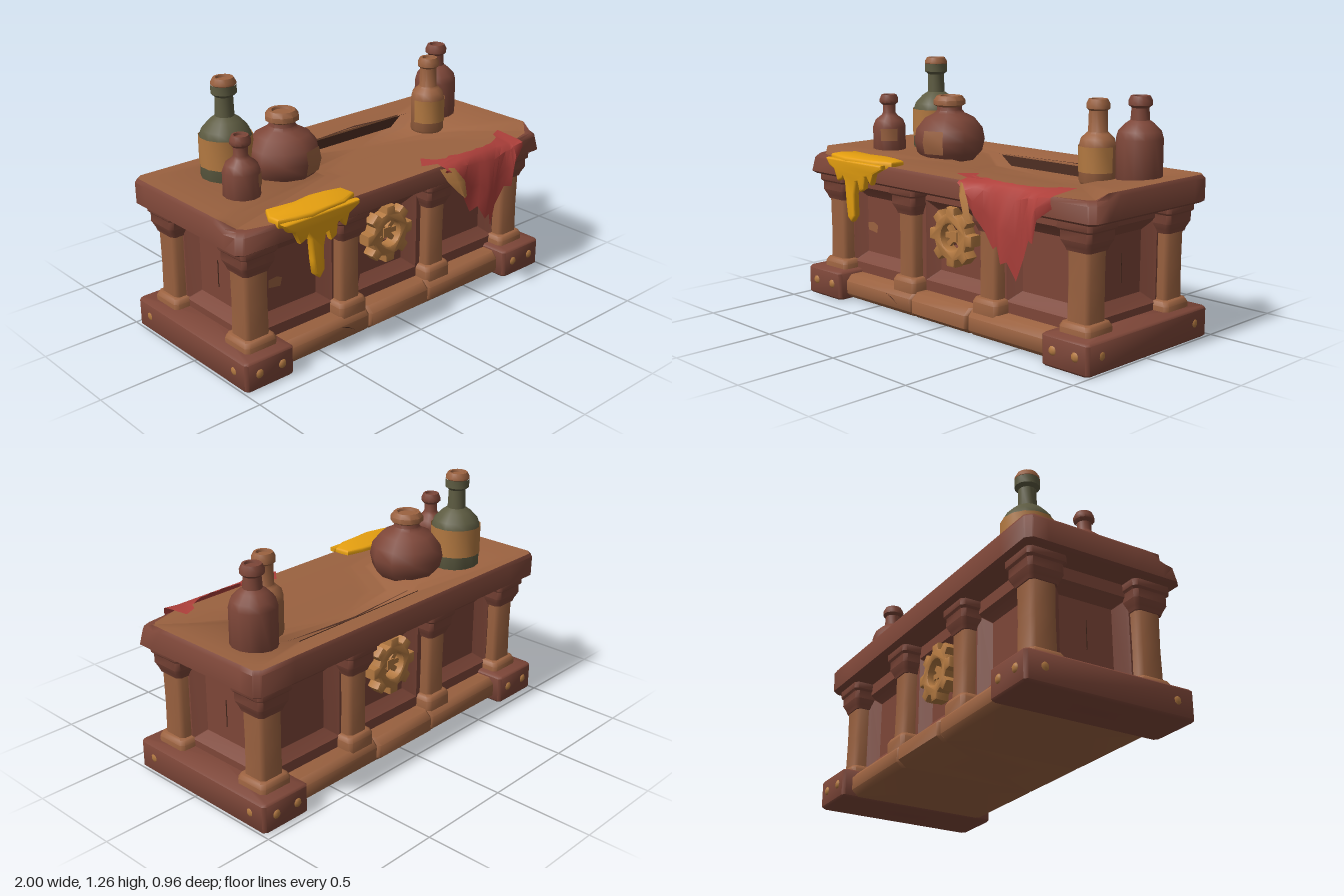
import * as THREE from 'three';
import { toCreasedNormals } from 'three/addons/utils/BufferGeometryUtils.js';

const mat = (name, color, side = THREE.FrontSide) =>
  Object.assign(new THREE.MeshStandardMaterial({ color, side }), { name });

// Skin a list of point loops; optional fan caps on the first and last loop
function loft(loops, { closed = true, bottom = true, top = true, crease = 0.85 } = {}) {
  const n = loops[0].length, pos = [];
  const tri = (...p) => p.forEach(v => pos.push(...v));
  for (let k = 0; k + 1 < loops.length; k++) {
    const a = loops[k], b = loops[k + 1];
    for (let i = 0; i < (closed ? n : n - 1); i++) {
      const j = (i + 1) % n;
      tri(a[i], b[i], a[j]);
      tri(a[j], b[i], b[j]);
    }
  }
  const cap = (loop, up) => {
    const c = [0, 1, 2].map(d => loop.reduce((s, p) => s + p[d], 0) / n);
    loop.forEach((p, i) => (up ? tri(c, loop[(i + 1) % n], p) : tri(c, p, loop[(i + 1) % n])));
  };
  if (closed && bottom) cap(loops[0], false);
  if (closed && top) cap(loops[loops.length - 1], true);
  const g = new THREE.BufferGeometry();
  g.setAttribute('position', new THREE.Float32BufferAttribute(pos, 3));
  return toCreasedNormals(g, crease);
}

// Chamfered rectangle loop at height y, each edge split n times
function rect(hx, hz, y, c = 0.015, n = 1, cz = 0, cx = 0) {
  const p = [[hx, -hz + c], [hx, hz - c], [hx - c, hz], [c - hx, hz],
    [-hx, hz - c], [-hx, c - hz], [c - hx, -hz], [hx - c, -hz]];
  return p.flatMap(([x, z], i) => {
    const [u, w] = p[(i + 1) % 8];
    return Array.from({ length: n }, (_, k) => [x + (u - x) * k / n + cx, y, z + (w - z) * k / n + cz]);
  });
}

export function createModel() {
  const root = new THREE.Group();
  const light = mat('light wood', 0x9b6240), dark = mat('dark wood', 0x7d4638);
  const tan = mat('tan', 0xb37941, THREE.DoubleSide), gap = mat('gap', 0x4e2e22, THREE.DoubleSide);
  const green = mat('green glass', 0x5d5b41), yellow = mat('yellow slime', 0xe6a010);
  const red = mat('red cloth', 0xae403b, THREE.DoubleSide);
  const add = (name, geo, m, x = 0, y = 0, z = 0, parent = root) => {
    const mesh = new THREE.Mesh(geo, m);
    mesh.name = name;
    mesh.position.set(x, y, z);
    parent.add(mesh);
    return mesh;
  };
  const flat = pts => new THREE.ShapeGeometry(new THREE.Shape(pts.map(([x, y]) => new THREE.Vector2(x, y))));
  const desk = new THREE.Group();
  desk.name = 'desk';
  desk.position.z = -0.035;
  root.add(desk);
  const part = (name, geo, m, x, y, z) => add(name, geo, m, x, y, z, desk);

  // Base: three rounded beams between two heavy end blocks
  for (const [x, h, s] of [[-0.47, 0.264, 0], [-0.005, 0.202, 0.005], [0.46, 0.264, 0]])
    part('baseBeam', loft([rect(h, 0.36, 0.008), rect(h, 0.39 + s, 0.035), rect(h, 0.39 + s, 0.1), rect(h, 0.36, 0.132)]), light, x);
  part('beamCrack', flat([[-0.4, 0.1], [-0.35, 0.085], [-0.3, 0.05], [-0.34, 0.075]]), gap, 0, 0, 0.392);
  const bolt = new THREE.SphereGeometry(0.024, 8, 5);
  for (const s of [-1, 1]) {
    part('endBlock', loft([rect(0.128, 0.427, 0), rect(0.138, 0.436, 0.01), rect(0.138, 0.436, 0.14), rect(0.128, 0.427, 0.15)]), dark, s * 0.857);
    for (const f of [-1, 1]) {
      for (const x of [0.79, 0.92]) part('bolt', bolt, tan, s * x, 0.08, f * 0.432).scale.z = 0.6;
      part('bolt', bolt, tan, s * 0.99, 0.08, f * 0.34).scale.x = 0.4;
    }
  }

  // Walls: sunken panels, the middle ones open into a shaft through the desk
  const wall = (x, z, turn, half, name) => {
    const g = new THREE.Group();
    g.name = name;
    g.position.set(x, 0.39, z);
    g.rotation.y = turn;
    desk.add(g);
    const mid = name === 'gearWall', c = 0.002;
    const loops = [rect(half, 0.275, 0, c), rect(half * 0.72, 0.205, 0, c), rect(half * 0.68, 0.195, -0.01, c),
      rect(half * 0.5, 0.15, -0.045, c)];
    if (mid) loops.push(rect(0.064, 0.064, -0.045, c, 1, -0.05), rect(0.064, 0.064, -0.29, c, 1, -0.05));
    add('panel', loft(loops, { bottom: false, top: !mid, crease: 0.2 }), dark, 0, 0, 0, g).rotation.x = Math.PI / 2;
    return g;
  };

  // Gear: eight teeth round an open ring, with crossed spokes
  const gearShape = new THREE.Shape();
  for (let i = 0; i < 8; i++)
    [[-0.2, 0.108], [-0.13, 0.14], [0.13, 0.14], [0.2, 0.108]].forEach(([da, r], k) => {
      const a = i * Math.PI / 4 + da;
      gearShape[i + k ? 'lineTo' : 'moveTo'](r * Math.cos(a), r * Math.sin(a));
    });
  gearShape.holes.push(new THREE.Path().absarc(0, 0, 0.077, 0, Math.PI * 2, true));
  const gearGeo = toCreasedNormals(new THREE.ExtrudeGeometry(gearShape,
    { depth: 0.045, bevelSize: 0.01, bevelThickness: 0.014, bevelSegments: 2, curveSegments: 8 }), 0.7);
  for (const f of [1, -1]) {
    const turn = f > 0 ? 0 : Math.PI;
    for (const s of [-1, 1]) {
      const side = wall(s * 0.57, f * 0.285, turn, 0.29, 'sideWall');
      if (s < 0 && f > 0)
        add('paintChip', flat([[-0.14, -0.03], [-0.07, -0.04], [-0.06, 0.0], [-0.09, 0.015], [-0.14, 0.01]]), light, 0, 0, -0.042, side);
    }
    const g = wall(0, f * 0.285, turn, 0.28, 'gearWall');
    add('gear', gearGeo, tan, 0, 0.05, -0.03, g);
    for (const a of [-1, 0, 1])
      add('gearSpoke', new THREE.BoxGeometry(0.17, 0.026, 0.02), tan, 0, 0.05, -0.015, g).rotation.z = a * Math.PI / 4;
    add('gearHub', new THREE.BoxGeometry(0.045, 0.05, 0.035), tan, 0, 0.05, -0.015, g);
    const end = wall(f * 0.86, 0, f * Math.PI / 2, 0.285, 'endWall');
    add('crack', new THREE.BoxGeometry(0.004, 0.14, 0.004), gap, 0, -0.01, -0.044, end);
  }

  // Pillars: wide foot, plain shaft, stepped capital
  const pillar = (x, z, w) => {
    const r = (a, y) => rect(w + a, w + a, y, 0.018);
    part('pillarFoot', loft([r(0.024, 0.12), r(0.024, 0.175), r(0.014, 0.195), r(0, 0.2)]), light, x, 0, z);
    part('pillarShaft', loft([r(0, 0.19), r(-0.002, 0.36), r(0, 0.56)]), light, x, 0, z);
    part('pillarCapital', loft([r(0.006, 0.52), r(0.012, 0.54), r(0.026, 0.57), r(0.026, 0.612), r(0.036, 0.622), r(0.036, 0.66)]), dark, x, 0, z);
  };
  for (const f of [-1, 1]) for (const s of [-1, 1]) {
    pillar(s * 0.848, f * 0.28, 0.067);
    pillar(s * 0.29, f * 0.285, 0.061);
  }

  // Table top: dark rim, worn surface sinking to a broken back board; the front edge
  // sags and the two front corners are worn off
  const cutCorner = (loop, limit) => loop.map(([x, y, z]) => {
    const over = Math.max(0, Math.abs(x) + z - limit) / 2;
    return [x - Math.sign(x) * over, y, z - over];
  });
  const sag = g => {
    const p = g.attributes.position;
    for (let i = 0; i < p.count; i++)
      if (p.getY(i) > 0.755 && p.getZ(i) > 0.3) p.setY(i, p.getY(i) - 0.03);
    return toCreasedNormals(g, 0.85);
  };
  const edge = rect(0.982, 0.407, 0.79, 0.03, 10);
  part('tableRim', sag(loft([rect(0.975, 0.395, 0.655, 0.02, 10), rect(0.995, 0.415, 0.668, 0.03, 10),
    cutCorner(rect(0.995, 0.417, 0.772, 0.03, 10), 1.355), cutCorner(edge, 1.32), cutCorner(edge, 1.28)], { top: false })), dark);
  part('tableSurface', sag(loft([cutCorner(edge, 1.28), cutCorner(rect(0.94, 0.37, 0.788, 0.03, 10), 1.24),
    rect(0.47, 0.235, 0.766, 0.06, 10, -0.045, 0.2), rect(0.4, 0.13, 0.71, 0.06, 10, -0.145, 0.2)], { bottom: false })), light);
  part('brokenBoard', flat([[-0.2, 0.71], [0.6, 0.71], [0.62, 0.762], [-0.22, 0.762]]), gap, 0, 0, -0.268);
  part('boardSplit', flat([[-0.25, 0.24], [0.25, 0.275], [0.67, 0.245], [0.3, 0.29]]), gap, 0, 0.772, 0).rotation.x = -Math.PI / 2;

  // Bottles: [radius, height] profiles; neck lips and labels as separate pieces
  const lathe = (pts, seg, off = 0, start = 0, len = Math.PI * 2) => toCreasedNormals(
    new THREE.LatheGeometry(pts.map(([r, y]) => new THREE.Vector2(Math.max(r + off, 0), y)), seg, start, len).toNonIndexed(), 0.85);
  const bottle = (name, x, z, m, lipMat, body, [lr, ly, top], seg, label) => {
    const g = new THREE.Group();
    g.name = name;
    g.position.set(x, 0, z);
    root.add(g);
    add('glass', lathe([[0, 0.742], ...body], seg), m, 0, 0, 0, g);
    add('lip', lathe([[lr * 0.7, ly], [lr, ly + 0.014], [lr, top - 0.022], [lr * 0.8, top], [lr * 0.6, top], [lr * 0.55, top - 0.012], [0, top - 0.012]], seg), lipMat, 0, 0, 0, g);
    if (label) add('label', lathe(label.pts, label.seg, 0.004, label.start, label.len), label.m, 0, 0, 0, g);
  };
  bottle('greenBottle', -0.62, -0.205, green, light,
    [[0.115, 0.742], [0.125, 0.76], [0.125, 0.98], [0.112, 1.015], [0.075, 1.055], [0.046, 1.075], [0.043, 1.17], [0.061, 1.185], [0.061, 1.226]], [0.061, 1.214, 1.26], 14,
    { pts: [[0.125, 0.84], [0.125, 0.985]], seg: 14, m: tan });
  bottle('smallBottle', -0.72, 0.045, dark, dark,
    [[0.082, 0.742], [0.088, 0.755], [0.088, 0.9], [0.075, 0.935], [0.042, 0.96], [0.034, 0.975], [0.034, 1.03]], [0.05, 1.015, 1.07], 12,
    { pts: [[0.088, 0.83], [0.088, 0.895]], seg: 3, start: 0.35, len: 1, m: light });
  bottle('roundPot', -0.38, -0.08, dark, light,
    [[0.13, 0.742], [0.172, 0.79], [0.186, 0.85], [0.174, 0.91], [0.13, 0.965], [0.08, 0.99], [0.066, 1.005], [0.064, 1.04]], [0.083, 1.02, 1.08], 10,
    { pts: [[0.172, 0.79], [0.186, 0.85], [0.174, 0.91]], seg: 1, start: 0, len: Math.PI / 5, m: light });
  bottle('tanBottle', 0.615, -0.095, light, light,
    [[0.082, 0.742], [0.089, 0.755], [0.089, 0.92], [0.08, 0.955], [0.058, 0.975], [0.047, 0.985], [0.044, 1.1]], [0.056, 1.08, 1.138], 12,
    { pts: [[0.089, 0.8], [0.089, 0.92]], seg: 6, start: -1.6, len: Math.PI, m: tan });
  bottle('darkBottle', 0.778, -0.2, dark, dark,
    [[0.102, 0.742], [0.11, 0.757], [0.11, 0.96], [0.1, 0.995], [0.066, 1.03], [0.045, 1.045], [0.04, 1.115]], [0.056, 1.1, 1.157], 14);

  // Slime: a puddle on the table edge and drips down its front
  const blob = (pts, depth) => toCreasedNormals(new THREE.ExtrudeGeometry(
    new THREE.Shape(pts.map(p => new THREE.Vector2(...p))),
    { depth, bevelSize: 0.01, bevelThickness: 0.012, bevelSegments: 2 }), 0.9);
  add('slimeDrips', blob([[-0.77, 0.76], [-0.75, 0.735], [-0.71, 0.72], [-0.685, 0.665], [-0.66, 0.675], [-0.645, 0.7],
    [-0.62, 0.66], [-0.61, 0.55], [-0.6, 0.48], [-0.582, 0.465], [-0.562, 0.49], [-0.565, 0.6], [-0.55, 0.67], [-0.52, 0.68],
    [-0.505, 0.63], [-0.488, 0.64], [-0.48, 0.7], [-0.45, 0.71], [-0.425, 0.675], [-0.41, 0.725], [-0.35, 0.755], [-0.35, 0.76]], 0.016), yellow, 0, 0, 0.4);
  add('slimePuddle', blob([[-0.775, -0.38], [-0.78, -0.33], [-0.74, -0.26], [-0.6, -0.275], [-0.5, -0.26], [-0.42, -0.27],
    [-0.34, -0.29], [-0.335, -0.36], [-0.42, -0.4], [-0.52, -0.405], [-0.62, -0.415], [-0.7, -0.4]], 0.022), yellow, 0, 0.75, 0).rotation.x = -Math.PI / 2;

  // Cloth: columns of [x, z of upper edge, y of ragged hem], folded over the table edge
  const drape = cols => loft([0, 1, 2, 3, 4].map(k => cols.map(([x, z, hem], i) => {
    const fold = 0.018 * Math.sin(i * 1.25), drop = [0, 0, 0.12, 0.55, 1][k];
    return [x, k ? 0.772 + (hem - 0.772) * drop : 0.785, [z, 0.395, 0.422, 0.432 + fold, 0.422 + fold][k]];
  })), { closed: false, crease: 0.8 });
  add('cloth', drape([[0.22, 0.33, 0.75], [0.28, 0.36, 0.7], [0.33, 0.34, 0.62], [0.38, 0.36, 0.55], [0.425, 0.36, 0.475], [0.465, 0.37, 0.5],
    [0.505, 0.36, 0.425], [0.54, 0.37, 0.44], [0.578, 0.36, 0.355], [0.615, 0.36, 0.46], [0.66, 0.34, 0.555], [0.7, 0.32, 0.55],
    [0.72, 0.28, 0.66], [0.79, 0.25, 0.715]]), red);
  add('clothCorner', flat([[0.13, -0.35], [0.2, -0.27], [0.24, -0.33], [0.34, -0.37], [0.24, -0.39]]), red, 0, 0.783, 0).rotation.x = -Math.PI / 2;
  add('clothLining', loft([
    [[0.205, 0.76, 0.4], [0.24, 0.768, 0.43], [0.265, 0.765, 0.44]],
    [[0.23, 0.7, 0.43], [0.27, 0.7, 0.465], [0.32, 0.69, 0.462]],
    [[0.285, 0.635, 0.45], [0.31, 0.605, 0.475], [0.338, 0.605, 0.462]]], { closed: false }), tan);

  return root;
}
